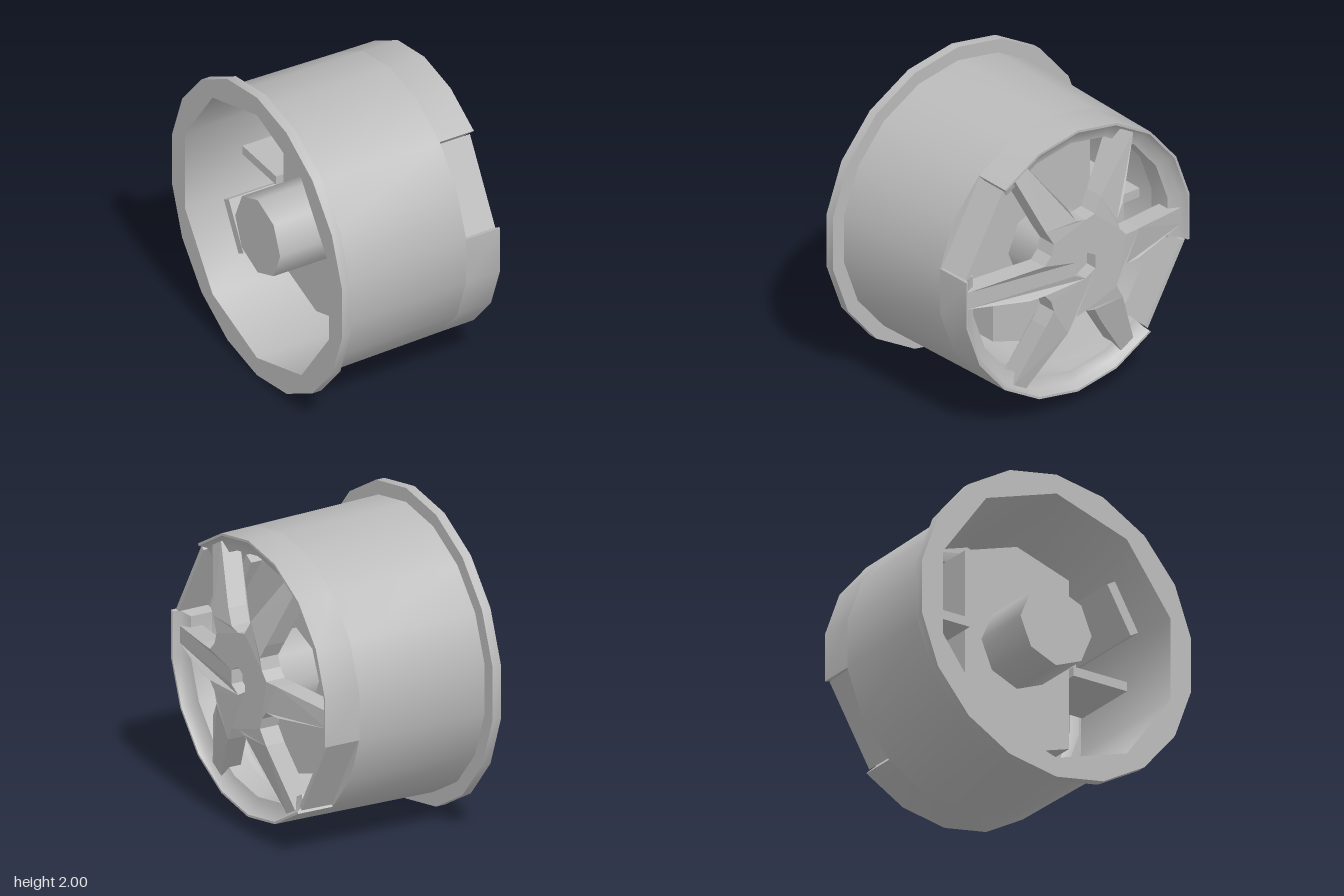
import * as THREE from 'three';
import { toCreasedNormals } from 'three/addons/utils/BufferGeometryUtils.js';

const metal = new THREE.MeshStandardMaterial({ color: 0xbababa, side: THREE.DoubleSide });
metal.name = 'wheel grey';

const DEG = Math.PI / 180;
// Turns a lathe's y axis into the wheel's x axis; angle 0 is up, growing towards +z
const toAxle = new THREE.Matrix4().makeBasis(
  new THREE.Vector3(0, 0, 1), new THREE.Vector3(1, 0, 0), new THREE.Vector3(0, 1, 0));

const vectors = (pts) => pts.map(([a, b]) => new THREE.Vector2(a, b));
const polygon = (n, r) => Array.from({ length: n }, (_, i) =>
  [r * Math.sin(i / n * 2 * Math.PI), r * Math.cos(i / n * 2 * Math.PI)]);

export function createModel() {
  const wheel = new THREE.Group();
  wheel.name = 'wheel';
  const inner = new THREE.Group();
  inner.name = 'wheelParts';
  inner.position.y = 1;
  wheel.add(inner);

  const add = (name, geo, parent = inner) => {
    const mesh = new THREE.Mesh(geo, metal);
    mesh.name = name;
    parent.add(mesh);
    return mesh;
  };

  // Revolved part from (radius, x) points
  const revolve = (name, pts, sides, from = 0, sweep = 360) => {
    const geo = new THREE.LatheGeometry(vectors(pts), sides, from * DEG, sweep * DEG);
    return add(name, toCreasedNormals(geo.applyMatrix4(toAxle), 50 * DEG));
  };

  // Closed section of the rim with flat ends
  const sector = (name, pts, from, to) => {
    revolve(name, [...pts, pts[0]], (to - from) / 20, from, to - from);
    for (const angle of [from, to]) {
      const end = new THREE.ShapeGeometry(new THREE.Shape(vectors(pts)));
      add(name + 'End', end.rotateY((angle - 90) * DEG).applyMatrix4(toAxle));
    }
  };

  // Plate outlined across the axle, running from x0 to x1
  const plate = (name, pts, x0, x1) => {
    const geo = new THREE.ExtrudeGeometry(new THREE.Shape(vectors(pts)),
      { depth: x1 - x0, bevelEnabled: false });
    return add(name, geo.rotateY(Math.PI / 2).translate(x0, 0, 0));
  };

  // Flange and outer barrel
  revolve('barrel', [[1, -0.625], [1, -0.565], [0.91, -0.565], [0.893, 0.31], [0.83, 0.31]], 18);
  const flange = new THREE.Shape(vectors(polygon(18, 1)));
  flange.holes.push(new THREE.Path(vectors(polygon(10, 0.875))));
  add('flangeBack', new THREE.ShapeGeometry(flange).rotateY(-Math.PI / 2).translate(-0.625, 0, 0));

  // Ten-sided inside wall
  revolve('innerWall', [[0.875, 0.31], [0.875, -0.625]], 10);

  // Front lip in two long sections, with two recessed panels between
  const lip = [[0.893, 0.31], [0.89, 0.55], [0.875, 0.55], [0.85, 0.5],
    [0.775, 0.48], [0.775, 0.33], [0.83, 0.31]];
  const panel = [[0.88, 0.31], [0.875, 0.525], [0.845, 0.525], [0.845, 0.31]];
  for (const turn of [0, 180]) {
    sector('frontLip', lip, 80 + turn, 220 + turn);
    sector('recessedPanel', panel, 40.5 + turn, 79.5 + turn);
  }

  // Six spokes cut as one star with a hexagonal centre hole
  const star = [];
  for (let i = 0; i < 6; i++) {
    const a = (30 + i * 60) * DEG;
    const at = (u, v) => star.push([u * Math.sin(a) + v * Math.cos(a), u * Math.cos(a) - v * Math.sin(a)]);
    at(0.31 * Math.cos(30 * DEG), -0.31 * Math.sin(30 * DEG));
    at(0.32, -0.1);
    at(0.43, -0.1);
    at(0.84, -0.055);
    at(0.84, 0.055);
    at(0.43, 0.1);
    at(0.32, 0.1);
  }
  const starShape = new THREE.Shape(vectors(star));
  starShape.holes.push(new THREE.Path(vectors(polygon(6, 0.09))));
  const spokes = new THREE.ExtrudeGeometry(starShape, { depth: 0.13, bevelEnabled: false })
    .rotateY(Math.PI / 2).translate(0.49, 0, 0);
  // Lean the spokes back towards the rim
  const pos = spokes.attributes.position;
  for (let i = 0; i < pos.count; i++) {
    const r = Math.hypot(pos.getY(i), pos.getZ(i));
    pos.setX(i, pos.getX(i) - 0.25 * Math.max(0, r - 0.4));
  }
  spokes.computeVertexNormals();
  add('spokes', spokes);

  // Hub running through to the back
  revolve('hub', [[0, -0.62], [0.26, -0.62], [0.26, 0.54], [0, 0.54]], 8);

  // Core block and ten-sided backing plate with two corners cut away
  const core = [[0, 0.68], [-0.38, 0.557], [-0.38, -0.557], [0, -0.68], [0.38, -0.557], [0.38, 0.557]];
  plate('coreBlock', core, -0.21, 0.1);
  const half = [[0, 0.68], [-0.4, 0.55], [-0.647, 0.21], [-0.647, -0.08], [-0.38, -0.08], [-0.38, -0.557]];
  plate('backingPlate', [...half, ...half.map(([a, b]) => [-a, -b])], 0.1, 0.21);

  // Side shelf and slanted block, repeated half a turn round
  for (const turn of [0, Math.PI]) {
    const side = new THREE.Group();
    side.name = turn ? 'backBrackets' : 'frontBrackets';
    side.rotation.x = turn;
    inner.add(side);
    add('shelf', new THREE.BoxGeometry(0.47, 0.06, 0.39), side).position.set(-0.025, -0.06, 0.575);
    const block = add('slantedBlock', new THREE.BoxGeometry(0.6, 0.065, 0.34), side);
    block.position.set(-0.1, 0.74 * Math.cos(60 * DEG), 0.74 * Math.sin(60 * DEG));
    block.rotation.x = 60 * DEG;
  }
  return wheel;
}
